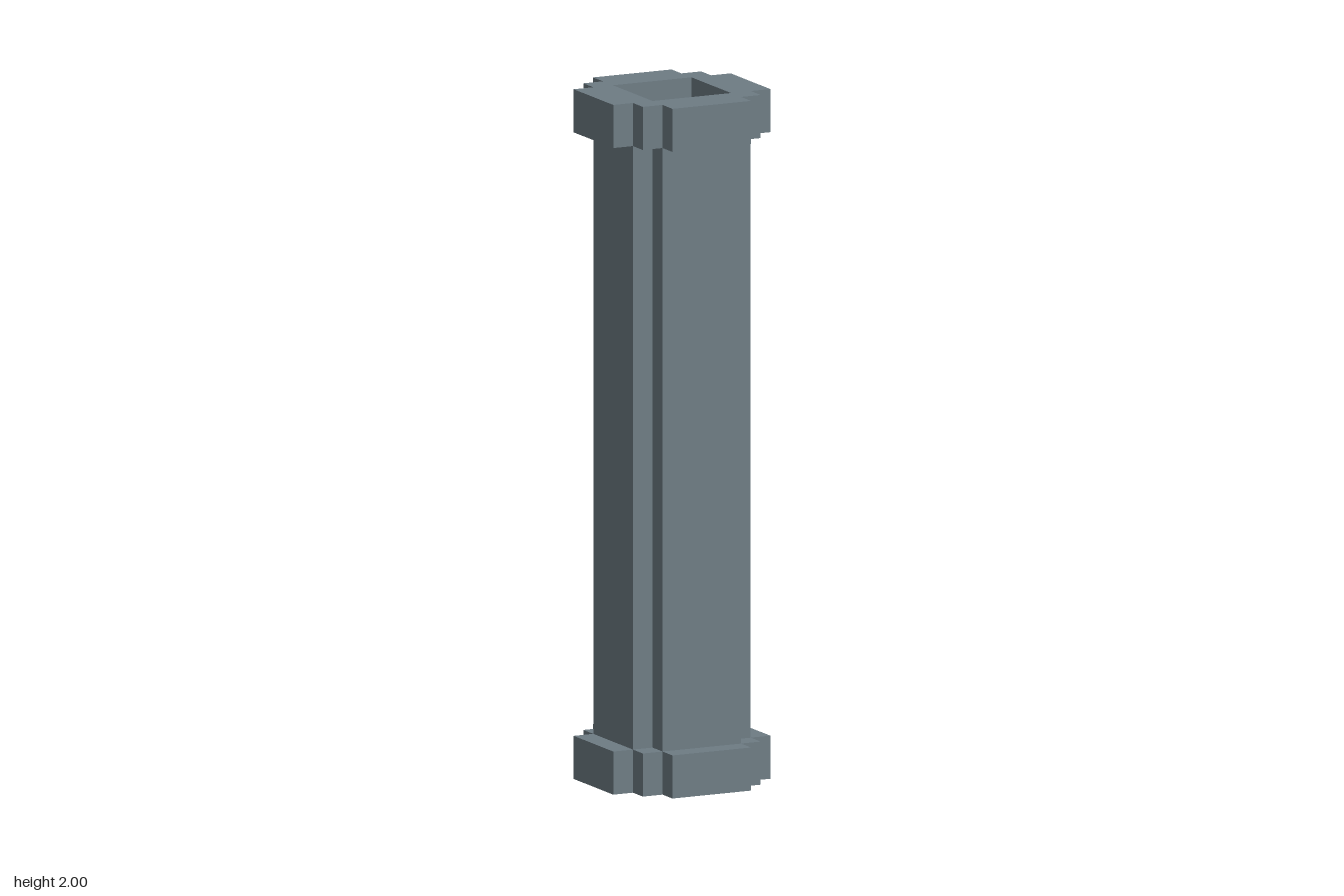
import * as THREE from 'three';

const HOLE = 0.125;   // half width of the square bore and of each side panel
const WALL = 0.1875;  // outer face of the shaft panels
const RIM = 0.25;     // outer face of the collars
const COLLAR = 0.125; // collar height
const HEIGHT = 2;

// Stepped collar outline: one corner's steps turned four times, with a square bore
function collarGeometry() {
  const steps = [[RIM, -HOLE], [RIM, HOLE], [WALL, HOLE], [WALL, WALL], [HOLE, WALL]];
  const points = [];
  for (let i = 0; i < 4; i++) {
    for (const [x, y] of steps.slice(1)) {
      points.push(new THREE.Vector2(x, y).rotateAround(new THREE.Vector2(), i * Math.PI / 2));
    }
    points.push(new THREE.Vector2(HOLE, RIM).rotateAround(new THREE.Vector2(), i * Math.PI / 2));
  }
  const shape = new THREE.Shape(points);
  shape.holes.push(new THREE.Path([
    new THREE.Vector2(-HOLE, -HOLE), new THREE.Vector2(-HOLE, HOLE),
    new THREE.Vector2(HOLE, HOLE), new THREE.Vector2(HOLE, -HOLE),
  ]));
  const geometry = new THREE.ExtrudeGeometry(shape, { depth: COLLAR, bevelEnabled: false });
  return geometry.rotateX(-Math.PI / 2);
}

export function createModel() {
  const model = new THREE.Group();
  model.name = 'hollowColumn';
  const steel = new THREE.MeshStandardMaterial({ color: 0x6f7d85 });
  steel.name = 'blueGreySteel';

  // Collars at the foot and the head
  const collar = collarGeometry();
  for (const [name, y] of [['bottomCollar', 0], ['topCollar', HEIGHT - COLLAR]]) {
    const mesh = new THREE.Mesh(collar, steel);
    mesh.name = name;
    mesh.position.y = y;
    model.add(mesh);
  }

  // Four shaft panels that meet at the corners of the bore
  const panel = new THREE.BoxGeometry(HOLE * 2, HEIGHT - COLLAR * 2, WALL - HOLE);
  panel.translate(0, HEIGHT / 2, (WALL + HOLE) / 2);
  ['frontPanel', 'leftPanel', 'backPanel', 'rightPanel'].forEach((name, i) => {
    const mesh = new THREE.Mesh(panel, steel);
    mesh.name = name;
    mesh.rotation.y = i * Math.PI / 2;
    model.add(mesh);
  });

  return model;
}
